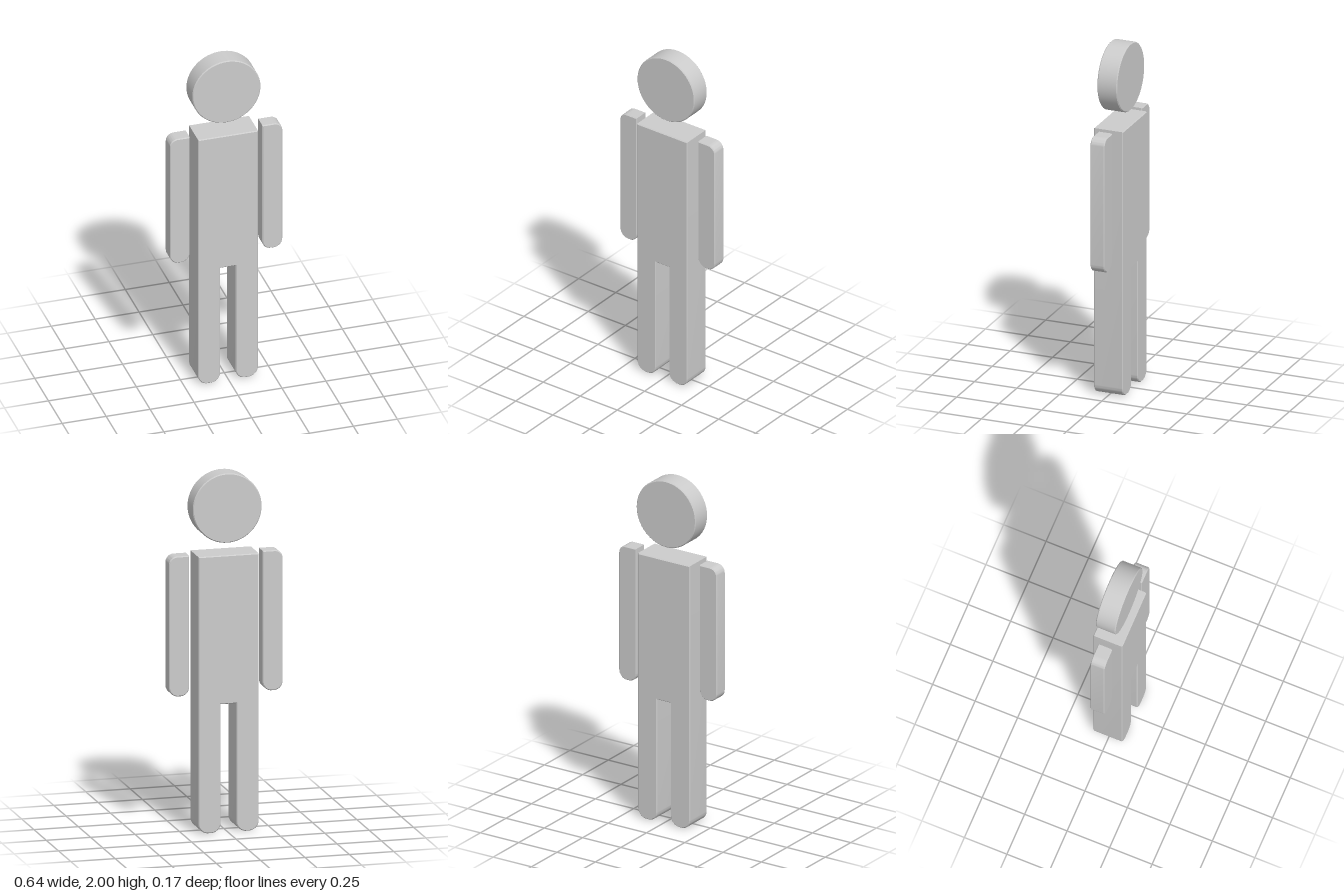
import * as THREE from 'three';
import { toCreasedNormals } from 'three/addons/utils/BufferGeometryUtils.js';

const material = new THREE.MeshStandardMaterial({ color: 0xcccccc });
const BEVEL = 0.005;

// Plate cut from an outline, spanning z0..z1, with a fine bevel kept inside the outline
function plate(name, shape, z0, z1) {
  const geometry = new THREE.ExtrudeGeometry(shape, {
    depth: z1 - z0 - 2 * BEVEL,
    bevelThickness: BEVEL,
    bevelSize: BEVEL,
    bevelOffset: -BEVEL,
    bevelSegments: 1,
    curveSegments: 12,
  });
  geometry.translate(0, 0, z0 + BEVEL);
  const mesh = new THREE.Mesh(toCreasedNormals(geometry, 0.5), material);
  mesh.name = name;
  return mesh;
}

// Closed outline from corners [x, y, radius]; radius 0 or missing keeps the corner sharp
function outline(corners) {
  const shape = new THREE.Shape();
  const n = corners.length;
  const toward = (a, b, r) => {
    const p = new THREE.Vector2(a[0], a[1]);
    const d = new THREE.Vector2(b[0], b[1]).sub(p).normalize();
    return p.addScaledVector(d, r);
  };
  corners.forEach((c, i) => {
    const r = c[2] || 0;
    const a = toward(c, corners[(i + n - 1) % n], r);
    if (i === 0) shape.moveTo(a.x, a.y);
    else shape.lineTo(a.x, a.y);
    if (r > 0) {
      // cubic approximation of a quarter circle
      const k = 0.448 * r;
      const b = toward(c, corners[(i + 1) % n], r);
      const ca = toward(c, corners[(i + n - 1) % n], k);
      const cb = toward(c, corners[(i + 1) % n], k);
      shape.bezierCurveTo(ca.x, ca.y, cb.x, cb.y, b.x, b.y);
    }
  });
  shape.closePath();
  return shape;
}

export function createModel() {
  const model = new THREE.Group();
  model.name = 'standingFigure';

  // Disc head
  const circle = [];
  for (let i = 0; i < 64; i++) {
    const a = (i / 64) * Math.PI * 2;
    circle.push(new THREE.Vector2(-0.003 + 0.194 * Math.cos(a), 1.806 + 0.194 * Math.sin(a)));
  }
  model.add(plate('head', new THREE.Shape(circle), -0.064, 0.053));

  // Torso and both legs in one piece, feet rounded
  const foot = 0.055;
  model.add(plate('torsoAndLegs', outline([
    [-0.174, 1.548], [-0.174, 0, foot], [-0.048, 0, foot], [-0.048, 0.717],
    [0.04, 0.717], [0.04, 0, foot], [0.166, 0, foot], [0.166, 1.548],
  ]), -0.087, 0.084));

  // Arms, rounded at the outer shoulder and the hand
  for (const [name, side, inner, outer] of [['leftArm', 1, 0.205, 0.319], ['rightArm', -1, 0.208, 0.321]]) {
    model.add(plate(name, outline([
      [side * inner, 1.548], [side * inner, 0.765, 0.05],
      [side * outer, 0.765, 0.05], [side * outer, 1.548, 0.045],
    ]), -0.043, 0.04));
  }

  return model;
}
